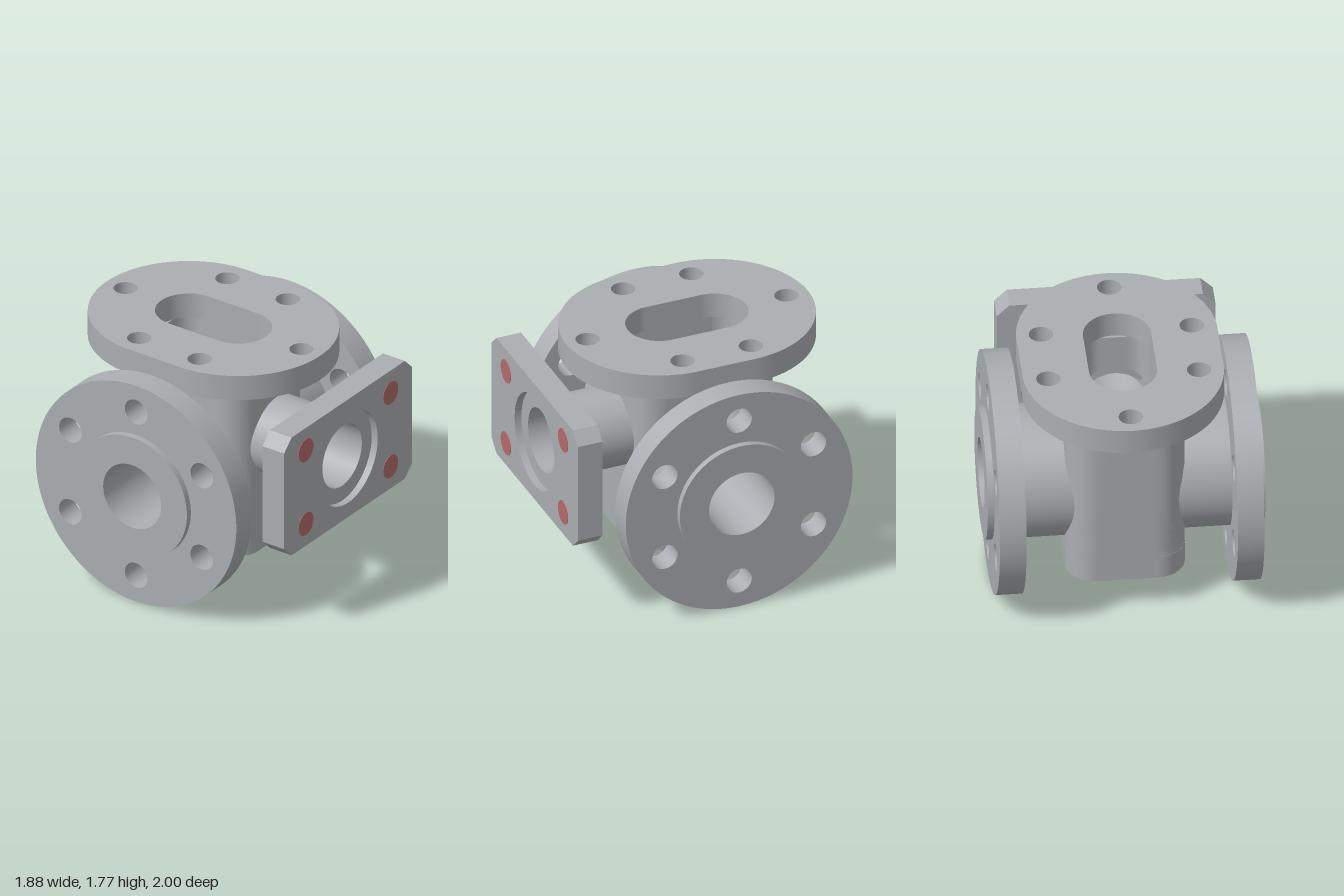
import * as THREE from 'three';
import { toCreasedNormals } from 'three/addons/utils/BufferGeometryUtils.js';

const CZ = -0.115;      // z of the body axis
const BORE_Y = 0.83;    // height of the side ports
const PORT_Y = 1.06;    // height of the front port

const metal = new THREE.MeshStandardMaterial({ color: 0xabaeb2 });
metal.name = 'castGrey';
const red = new THREE.MeshStandardMaterial({ color: 0xb46b6b });
red.name = 'dullRed';

function add(parent, name, geometry, material = metal) {
  const mesh = new THREE.Mesh(geometry, material);
  mesh.name = name;
  parent.add(mesh);
  return mesh;
}

function circle(r, x = 0, y = 0, Type = THREE.Path) {
  const p = new Type();
  p.absarc(x, y, r, 0, Math.PI * 2, false);
  return p;
}

// Rectangle with rounded corners; a stadium when r equals hx
function roundedRect(hx, hy, r, Type = THREE.Shape) {
  const p = new Type();
  const cx = hx - r, cy = hy - r, q = Math.PI / 2;
  p.absarc(cx, cy, r, 0, q, false);
  p.absarc(-cx, cy, r, q, 2 * q, false);
  p.absarc(-cx, -cy, r, 2 * q, 3 * q, false);
  p.absarc(cx, -cy, r, 3 * q, 4 * q, false);
  p.closePath();
  return p;
}

// Extrude along z from z0 to z1 with smooth curved sides
function extrude(shape, holes, z0, z1, steps = 32) {
  shape.holes.push(...holes);
  const g = new THREE.ExtrudeGeometry(shape, { depth: z1 - z0, bevelEnabled: false, curveSegments: steps });
  g.translate(0, 0, z0);
  return toCreasedNormals(g, 0.5);
}

// Depth of a wall whose ends turn round a corner of radius r
function wallZ(x, flat, h, r) {
  const d = Math.min(Math.max(Math.abs(x) - flat, 0), r);
  return h - r + Math.sqrt(r * r - d * d);
}

// Wall facing +z that wraps its rounded corners, with a round opening
function wall(flat, h, r, y0, y1, cy, holeR, inward) {
  const W = flat + r * Math.PI / 2, K = 10, angles = [];
  for (let i = 0; i <= 96; i++) angles.push(-Math.PI + i * Math.PI / 48);
  for (const sx of [-1, 1]) for (const y of [y0, y1]) angles.push(Math.atan2(y - cy, sx * W));
  angles.sort((a, b) => a - b);
  const pos = [], idx = [];
  angles.forEach((a, j) => {
    const c = Math.cos(a), s = Math.sin(a);
    const t = Math.min(W / Math.max(Math.abs(c), 1e-6),
      (s > 0 ? y1 - cy : cy - y0) / Math.max(Math.abs(s), 1e-6));
    const hx = holeR * c, over = Math.abs(hx) - flat;
    const hs = over > 0 && r > 0 ? Math.sign(hx) * (flat + r * Math.asin(Math.min(over / r, 1))) : hx;
    for (let i = 0; i <= K; i++) {
      const k = i / K;
      const u = hs + (t * c - hs) * k, v = holeR * s + (t * s - holeR * s) * k;
      const phi = r > 0 ? Math.max(Math.abs(u) - flat, 0) / r : 0;
      const x = phi > 0 ? Math.sign(u) * (flat + r * Math.sin(phi)) : u;
      pos.push(x, cy + v, h - r + r * Math.cos(phi));
      if (j && i) {
        const d = j * (K + 1) + i, b = d - K - 1;
        if (inward) idx.push(b - 1, d, b, b - 1, d - 1, d);
        else idx.push(b - 1, b, d, b - 1, d, d - 1);
      }
    }
  });
  const g = new THREE.BufferGeometry();
  g.setAttribute('position', new THREE.Float32BufferAttribute(pos, 3));
  g.setIndex(idx);
  return toCreasedNormals(g, 0.6);
}

// Four walls of the body or its cavity
function shell(parent, name, hx, hz, r, inward, portR) {
  const y0 = 0.42, y1 = 1.59;
  add(parent, name + 'Front', wall(hx - r, hz, r, y0, y1, PORT_Y, portR, inward));
  add(parent, name + 'Back', wall(hx - r, hz, r, y0, y1, PORT_Y, 0, inward).rotateY(Math.PI));
  for (const s of [-1, 1])
    add(parent, name + (s > 0 ? 'Left' : 'Right'),
      wall(hz - r, hx, 0, y0, y1, BORE_Y, 0.24, inward).rotateY(s * Math.PI / 2));
}

function createBody() {
  const body = new THREE.Group();
  body.name = 'body';
  body.position.z = CZ;
  shell(body, 'outerWall', 0.405, 0.522, 0.2, false, 0.25);
  shell(body, 'cavityWall', 0.23, 0.41, 0.13, true, 0.228);
  add(body, 'bodyFloor', extrude(roundedRect(0.405, 0.522, 0.2), [], 0.25, 0.42).rotateX(-Math.PI / 2));
  add(body, 'bodyRim', extrude(roundedRect(0.405, 0.522, 0.2),
    [roundedRect(0.23, 0.41, 0.13, THREE.Path)], 1.578, 1.588).rotateX(-Math.PI / 2));

  // Top flange with slot and six bolt holes
  const bolts = [[0, 0.728], [0, -0.728]];
  for (const x of [-0.51, 0.51]) for (const y of [-0.25, 0.25]) bolts.push([x, y]);
  add(body, 'topFlange', extrude(roundedRect(0.68, 0.885, 0.68),
    [roundedRect(0.23, 0.432, 0.23, THREE.Path), ...bolts.map(([x, y]) => circle(0.082, x, y))],
    1.59, 1.775).rotateX(-Math.PI / 2));
  return body;
}

// Side port: pipe with raised face and a round bolted flange
function createSidePort(side) {
  const port = new THREE.Group();
  port.name = side > 0 ? 'leftPort' : 'rightPort';
  port.position.set(0, BORE_Y, CZ);
  port.rotation.y = side * Math.PI / 2;
  add(port, 'sidePipe', extrude(circle(0.453, 0, 0, THREE.Shape), [circle(0.24)], 0.23, 0.94, 72));
  const holes = [circle(0.45)];
  for (let i = 0; i < 6; i++) {
    const a = Math.PI / 6 + i * Math.PI / 3;
    holes.push(circle(0.093, 0.628 * Math.cos(a), 0.628 * Math.sin(a)));
  }
  add(port, 'sideFlange', extrude(circle(0.83, 0, 0, THREE.Shape), holes, 0.715, 0.895, 72));
  return port;
}

// Front port: pipe, chamfered plate with recess, red bolt plugs
function createFrontPort() {
  const port = new THREE.Group();
  port.name = 'frontPort';
  port.position.y = PORT_Y;
  const pipe = extrude(circle(0.28, 0, 0, THREE.Shape), [circle(0.228)], 0.2, 0.83, 64);
  const p = pipe.attributes.position;
  for (let i = 0; i < p.count; i++)
    if (p.getZ(i) < 0.5) p.setZ(i, wallZ(p.getX(i), 0.1, 0.41, 0.13) + CZ + 0.003);
  add(port, 'frontPipe', pipe);

  const w = 0.74, h = 0.453, c = 0.085;
  const plate = () => new THREE.Shape([
    [w, h - c], [w - c, h], [c - w, h], [-w, h - c],
    [-w, c - h], [c - w, -h], [w - c, -h], [w, c - h],
  ].map(([x, y]) => new THREE.Vector2(x, y)));
  add(port, 'plateBack', extrude(plate(), [circle(0.228)], 0.82, 0.95, 64));
  add(port, 'plateFront', extrude(plate(), [circle(0.342)], 0.95, 1.0, 64));

  for (const x of [-0.49, 0.49]) for (const y of [-0.283, 0.283]) {
    const plug = add(port, 'boltPlug', new THREE.CylinderGeometry(0.085, 0.085, 0.186, 40).rotateX(Math.PI / 2), red);
    plug.position.set(x, y, 0.91);
  }
  return port;
}

export function createModel() {
  const model = new THREE.Group();
  model.name = 'valveBody';
  model.add(createBody(), createSidePort(1), createSidePort(-1), createFrontPort());
  return model;
}
